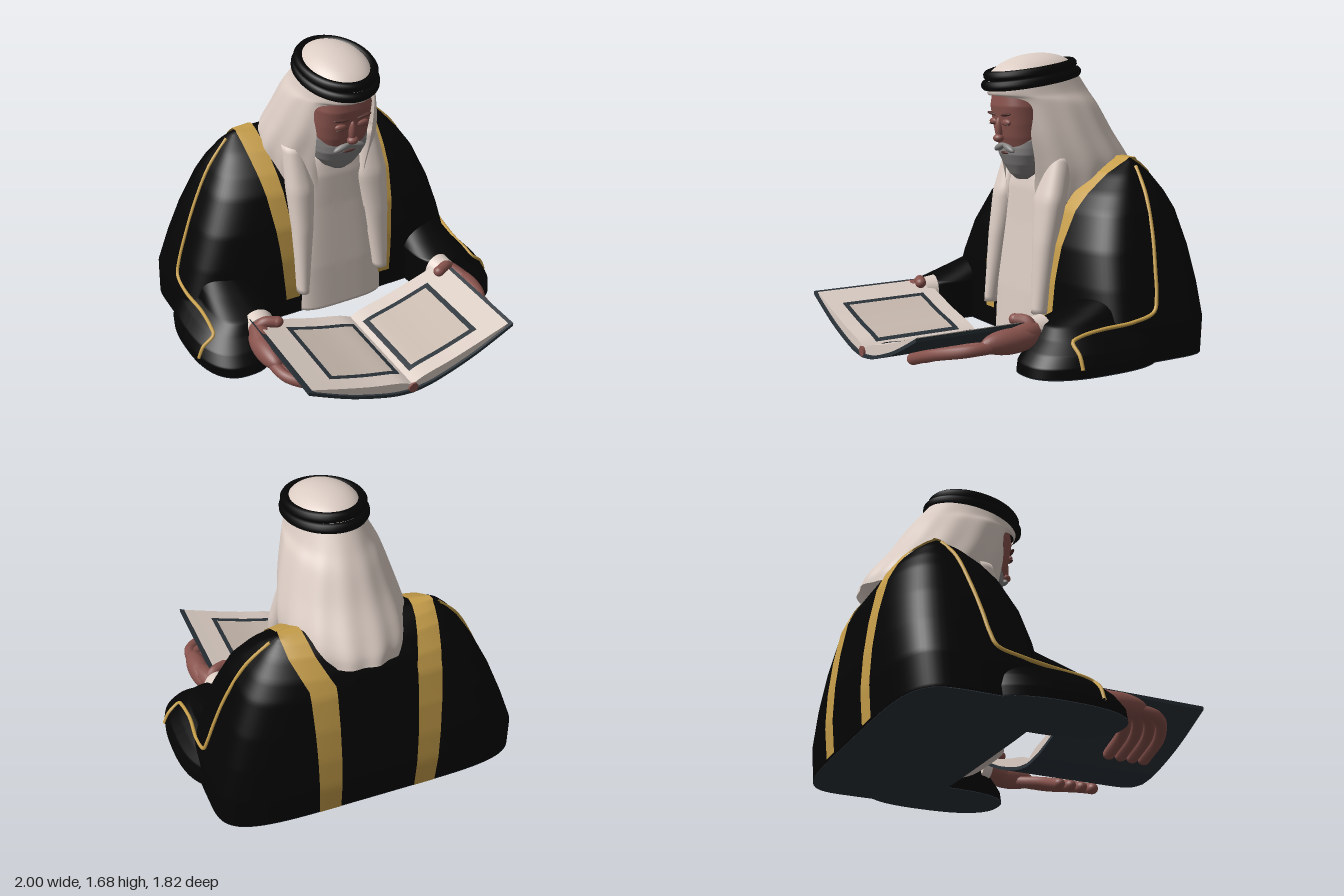
import * as THREE from 'three';

const mat = (name, color, side = THREE.DoubleSide) => {
  const m = new THREE.MeshStandardMaterial({ color, side });
  m.name = name;
  return m;
};

// Cross-section tables: [y, centre x, half width, front z, back z, squareness]
const ROBE = [[0, 0, .92, -.1, -.89, 5], [.2, 0, .91, -.1, -.91, 5], [.4, .01, .85, -.11, -.905, 4.6], [.6, .02, .78, -.14, -.885, 4.2],
  [.8, .03, .69, -.21, -.85, 3.7], [.9, .03, .625, -.28, -.81, 3.4], [1, .03, .54, -.39, -.74, 3.2], [1.05, .03, .48, -.48, -.68, 3], [1.08, .03, .44, -.56, -.61, 3]];
const SLEEVE = [[0, .76, .235, .33, -.5, 2.5], [.06, .76, .238, .32, -.5, 2.5], [.12, .75, .225, .27, -.5, 2.5], [.18, .72, .2, .2, -.5, 2.7],
  [.24, .68, .17, .15, -.5, 3], [.3, .68, .145, -.02, -.5, 2.7], [.37, .68, .1, -.2, -.5, 2.5]];
const GOWN = [[0, .055, .31, -.05, -.5, 4], [.3, .055, .31, -.065, -.5, 4], [.7, .055, .29, -.1, -.5, 3.5], [.9, .05, .27, -.11, -.5, 3],
  [1.02, .05, .2, -.13, -.45, 2.6], [1.08, .05, .12, -.17, -.4, 2.5]];
const TAIL_R = [[.17, -.225, .035, -.02, -.12, 2.2], [.6, -.2, .065, -.045, -.18, 2.2], [.85, -.19, .085, -.075, -.24, 2.2], [1.1, -.2, .06, -.16, -.3, 2.2]];
const TAIL_L = [[.2, .31, .045, -.02, -.12, 2.2], [.6, .295, .08, -.045, -.18, 2.2], [.85, .275, .11, -.075, -.24, 2.2], [1.1, .28, .07, -.16, -.3, 2.2]];
const FACE = [[.98, 0, .08, -.07, -.25, 2.2], [1.05, 0, .13, -.035, -.28, 2.3], [1.12, 0, .155, 0, -.3, 2.4], [1.2, 0, .168, .03, -.3, 2.4],
  [1.28, 0, .175, .045, -.3, 2.5], [1.38, 0, .178, .06, -.3, 2.6], [1.46, 0, .16, .05, -.28, 2.6]];
const BEARD = [[.95, 0, .05, -.08, -.2, 2.2], [.98, 0, .1, -.05, -.24, 2.2], [1.04, 0, .148, -.015, -.27, 2.2], [1.1, 0, .17, .01, -.29, 2.3],
  [1.14, 0, .176, .01, -.3, 2.3], [1.18, 0, .179, -.0, -.3, 2.4], [1.26, 0, .178, -.04, -.3, 2.4]];

function rowAt(tab, y) {
  if (y <= tab[0][0]) return tab[0];
  for (let i = 1; i < tab.length; i++) {
    if (y <= tab[i][0]) {
      const a = tab[i - 1], b = tab[i], t = (y - a[0]) / (b[0] - a[0]);
      return a.map((v, k) => v + (b[k] - v) * t);
    }
  }
  return tab[tab.length - 1];
}

// Grid surface from a point function of (u, v)
function grid(nu, nv, fn) {
  const pos = [], idx = [];
  for (let j = 0; j <= nv; j++) for (let i = 0; i <= nu; i++) pos.push(...fn(i / nu, j / nv));
  for (let j = 0; j < nv; j++) for (let i = 0; i < nu; i++) {
    const a = j * (nu + 1) + i, b = a + 1, c = a + nu + 1, d = c + 1;
    idx.push(a, c, b, b, c, d);
  }
  const g = new THREE.BufferGeometry();
  g.setAttribute('position', new THREE.Float32BufferAttribute(pos, 3));
  g.setIndex(idx);
  g.computeVertexNormals();
  return g;
}

// Closed upright solid with superellipse sections; the end rows close the caps
function loft(tab, y0, y1, rows = 60) {
  return grid(72, rows + 2, (u, v) => {
    const j = Math.round(v * (rows + 2)), y = y0 + (y1 - y0) * Math.min(Math.max(j - 1, 0), rows) / rows;
    const [, cx, hx, zF, zB, n] = rowAt(tab, y), k = j === 0 || j === rows + 2 ? 0 : 1, a = u * Math.PI * 2;
    const pw = w => Math.sign(w) * Math.abs(w) ** (2 / n);
    return [cx + k * hx * pw(Math.cos(a)), y, (zF + zB) / 2 + k * (zF - zB) / 2 * pw(Math.sin(a))];
  });
}

// z on a lofted surface, side +1 front, -1 back
function surfZ(tab, x, y, side) {
  const [, cx, hx, zF, zB, n] = rowAt(tab, y), d = Math.min(Math.abs(x - cx) / hx, .97);
  return (zF + zB) / 2 + side * (zF - zB) / 2 * (1 - d ** n) ** (1 / n);
}
// outermost x on a lofted surface, k flips the centre for the other side
function surfX(tab, y, z, k = 1) {
  const [, cx, hx, zF, zB, n] = rowAt(tab, y), d = Math.abs(z - (zF + zB) / 2) / ((zF - zB) / 2);
  return d >= 1 ? 0 : cx * k + hx * (1 - d ** n) ** (1 / n);
}

// Band lying on a lofted surface along [x, y, side, width] points
function ribbon(tab, pts, off) {
  const seg = pts.length - 1;
  return grid(6, seg * 14, (u, v) => {
    const f = Math.min(v * seg, seg - 1e-6), i = Math.floor(f), t = f - i;
    const [xc, y, side, width] = pts[i].map((p, k) => p + (pts[i + 1][k] - p) * t);
    const x = xc + (u - .5) * width, lift = Math.max(0, (y - .9) / .18);
    return [x, y + off * lift, surfZ(tab, x, y, side) + off * side];
  });
}

function catmull(rows, t) {
  const m = rows.length - 1, f = Math.min(t * m, m - 1e-6), i = Math.floor(f), s = f - i;
  const r = k => rows[Math.min(Math.max(k, 0), m)];
  return rows[0].map((_, k) => {
    const a = r(i - 1)[k], b = r(i)[k], c = r(i + 1)[k], d = r(i + 2)[k];
    return b + .5 * s * (c - a + s * (2 * a - 5 * b + 4 * c - d + s * (3 * (b - c) + d - a)));
  });
}

const tube = (pts, r, closed = false, n = 40) =>
  new THREE.TubeGeometry(new THREE.CatmullRomCurve3(pts.map(p => new THREE.Vector3(...p)), closed), n, r, 10, closed);

export function createModel() {
  const black = mat('black robe', 0x040404), gold = mat('gold trim', 0xc69e4a), white = mat('white cloth', 0xdccdc4);
  const skin = mat('skin', 0x87524c), shade = mat('dark skin', 0x54332f), hair = mat('grey hair', 0x848281);
  const slate = mat('slate', 0x2b343b), paper = mat('paper', 0xdccec5), panel = mat('page panel', 0xcabbb0);
  const model = new THREE.Group();
  const add = (name, geo, m, parent = model) => {
    const mesh = new THREE.Mesh(geo, m);
    mesh.name = name;
    parent.add(mesh);
    return mesh;
  };
  const blob = (name, m, p, s, parent, rz = 0, rx = 0) => {
    const mesh = add(name, new THREE.SphereGeometry(1, 32, 22), m, parent);
    mesh.position.set(...p);
    mesh.scale.set(...s);
    mesh.rotation.set(rx, 0, rz);
  };

  // Robe, gown and gold bands
  add('robe', loft(ROBE, .004, 1.08), black);
  add('robeBase', loft(ROBE, 0, .004, 1), slate);
  add('gown', loft(GOWN, .006, 1.08), white);
  add('gownPlacket', ribbon(GOWN, [[.03, .05, 1, .07], [.03, .88, 1, .07]], .006), white);
  add('gownPocket', ribbon(GOWN, [[.17, .46, 1, .12], [.17, .63, 1, .12]], .006), white);
  for (const [s, o] of [[-1, 0], [1, .07]]) {
    const path = [[.28, .12, 1, .09], [.3, .5, 1, .1], [.33, .85, 1, .11], [.345, 1, 1, .12], [.35, 1.08, 1, .12],
      [.35, 1.08, -1, .13], [.33, 1, -1, .14], [.3, .85, -1, .15], [.29, .5, -1, .14], [.28, .01, -1, .13]];
    add('goldBand', ribbon(ROBE, path.map(([x, y, d, w]) => [s * (x + (y > .95 || d > 0 ? o : o / 3)), y, d, w]), .009), gold);
  }

  // Sleeves, seams, cuffs and hands, mirrored
  for (const s of [1, -1]) {
    const arm = new THREE.Group();
    arm.name = s > 0 ? 'leftArm' : 'rightArm';
    arm.scale.x = s;
    model.add(arm);
    add('sleeve', loft(SLEEVE, .004, .37), black, arm);
    add('sleeveBase', loft(SLEEVE, 0, .004, 1), slate, arm);
    const seam = [[1.04, -.58], [.9, -.55], [.7, -.52], [.5, -.49], [.36, -.47], [.28, -.44], [.24, -.3], [.22, -.1], [.2, .05], [.18, .1], [.12, .1], [.05, .1]];
    add('sleeveSeam', tube(seam.map(([y, z]) => [Math.max(surfX(ROBE, y, z, s), surfX(SLEEVE, y, z)) + .003, y, z]), .011, false, 90), gold, arm);
    const cuff = add('cuff', new THREE.CylinderGeometry(.08, .09, .07, 28), white, arm);
    cuff.position.set(.62, .19, .155);
    cuff.rotation.set(Math.PI / 2, 0, -.15);
    add('wrist', tube([[.62, .19, .12], [.65, .195, .22], [.68, .18, .34]], .064), skin, arm);
    blob('palm', skin, [.68, .175, .36], [.066, .07, .18], arm);
    for (let i = 0; i < 4; i++) {
      const z = .52 + i * .075;
      add('finger', tube([[.69, .165, .3 + i * .03], [.665, .15, .4 + i * .07], [.5, .11, z - .02], [.3, .045, z]], .034), skin, arm);
      blob('fingertip', skin, [.3, .045, z], [.04, .033, .034], arm);
    }
    add('thumb', tube([[.67, .2, .2], [.62, .255, .22], [.55, .255, .25]], .033), skin, arm);
    blob('thumbTip', skin, [.55, .255, .25], [.036, .032, .033], arm);
  }

  // Head and beard
  const head = new THREE.Group();
  head.name = 'head';
  head.position.x = .05;
  model.add(head);
  add('face', loft(FACE, .98, 1.46), skin, head);
  add('beard', loft(BEARD, .95, 1.26), hair, head);
  blob('nose', skin, [0, 1.245, .045], [.022, .07, .024], head, 0, .05);
  blob('noseTip', skin, [0, 1.195, .05], [.034, .024, .03], head);
  blob('lip', shade, [0, 1.108, .006], [.042, .009, .012], head);
  for (const s of [1, -1]) {
    blob('moustache', hair, [s * .045, 1.14, .01], [.06, .02, .022], head, s * -.35);
    blob('brow', shade, [s * .072, 1.333, .046], [.05, .009, .016], head, s * .12);
    blob('eyelid', skin, [s * .07, 1.288, .038], [.038, .02, .018], head);
    blob('lashLine', shade, [s * .07, 1.277, .044], [.036, .006, .014], head, s * -.1);
  }

  // Headscarf rows: [front y, back y, half width, front z, back z, opening angle]
  const rows = [[1.52, 1.58, .2, .1, -.45, 0], [1.45, 1.47, .225, .1, -.53, 0], [1.41, 1.37, .26, .06, -.6, .78],
    [1.22, 1.22, .31, .02, -.69, .64], [1.05, 1.08, .345, -.03, -.79, .54], [.9, 1, .345, -.06, -.84, .46], [.7, .94, .32, -.07, -.86, .5]];
  add('headscarf', grid(140, 70, (u, v) => {
    const [yF, yB, hx, zF, zB, a0] = catmull(rows, v), o = Math.max(0, a0);
    const a = o + (Math.PI * 2 - 2 * o) * u, k = 1 + .018 * v * Math.sin(13 * a + 3 * v), b = (1 - Math.cos(a)) / 2;
    return [.055 + hx * k * Math.sin(a), yF + (yB - yF) * b, (zF + zB) / 2 + (zF - zB) / 2 * k * Math.cos(a)];
  }), white);
  add('scarfTailRight', loft(TAIL_R, .17, 1.1, 30), white);
  add('scarfTailLeft', loft(TAIL_L, .2, 1.1, 30), white);

  // Crown of the scarf with a doubled cord
  const crown = new THREE.Group();
  crown.name = 'crown';
  crown.position.set(.055, 1.54, -.17);
  crown.rotation.x = .15;
  model.add(crown);
  add('scarfCrown', new THREE.SphereGeometry(1, 40, 16, 0, Math.PI * 2, 0, Math.PI / 2), white, crown).scale.set(.205, .135, .28);
  for (const [y, rx, rz] of [[-.005, .208, .285], [.048, .2, .262]]) {
    const ring = Array.from({ length: 24 }, (_, i) => [rx * Math.sin(i * Math.PI / 12), y, rz * Math.cos(i * Math.PI / 12)]);
    add('headCord', tube(ring, .029, true, 80), black, crown);
  }

  // Open book
  const V = ([x, y]) => new THREE.Vector2(x, y);
  const coverLine = new THREE.SplineCurve([[0, .002], [.15, .025], [.4, .11], [.66, .235]].map(V)).getPoints(24);
  const pageLine = new THREE.SplineCurve([[0, .05], [.08, .085], [.25, .128], [.42, .18], [.635, .252]].map(V)).getPoints(32);
  const pageY = x => rowAt(pageLine.map(p => [p.x, p.y]), x)[1];
  const slab = (low, top, z0, z1) => {
    const g = new THREE.ExtrudeGeometry(new THREE.Shape([...low, ...[...top].reverse()]), { depth: z1 - z0, bevelEnabled: false });
    return g.translate(0, 0, z0);
  };
  const lifted = coverLine.map(p => new THREE.Vector2(p.x, p.y + .02));
  const sheet = (x0, x1, z0, z1, off) => grid(20, 1, (u, v) => {
    const x = x0 + (x1 - x0) * u;
    return [x, pageY(x) + off, z0 + (z1 - z0) * v];
  });
  const book = new THREE.Group();
  book.name = 'book';
  book.position.x = -.02;
  model.add(book);
  for (const s of [1, -1]) {
    const half = new THREE.Group();
    half.name = 'bookHalf';
    half.scale.x = s;
    book.add(half);
    add('cover', slab(coverLine, lifted, .15, .905), slate, half);
    add('pages', slab(lifted.filter(p => p.x <= .635), pageLine, .16, .89), paper, half);
    add('pagePanel', sheet(.06, .45, .29, .77, .004), panel, half);
    for (const [x0, x1, z0, z1] of [[.03, .06, .26, .8], [.45, .48, .26, .8], [.06, .45, .26, .29], [.06, .45, .77, .8]])
      add('pageFrame', sheet(x0, x1, z0, z1, .005), slate, half);
  }
  const spine = add('spineEnd', new THREE.CylinderGeometry(.03, .03, .012, 16), skin, book);
  spine.position.set(0, .035, .9);
  spine.rotation.x = Math.PI / 2;
  return model;
}
